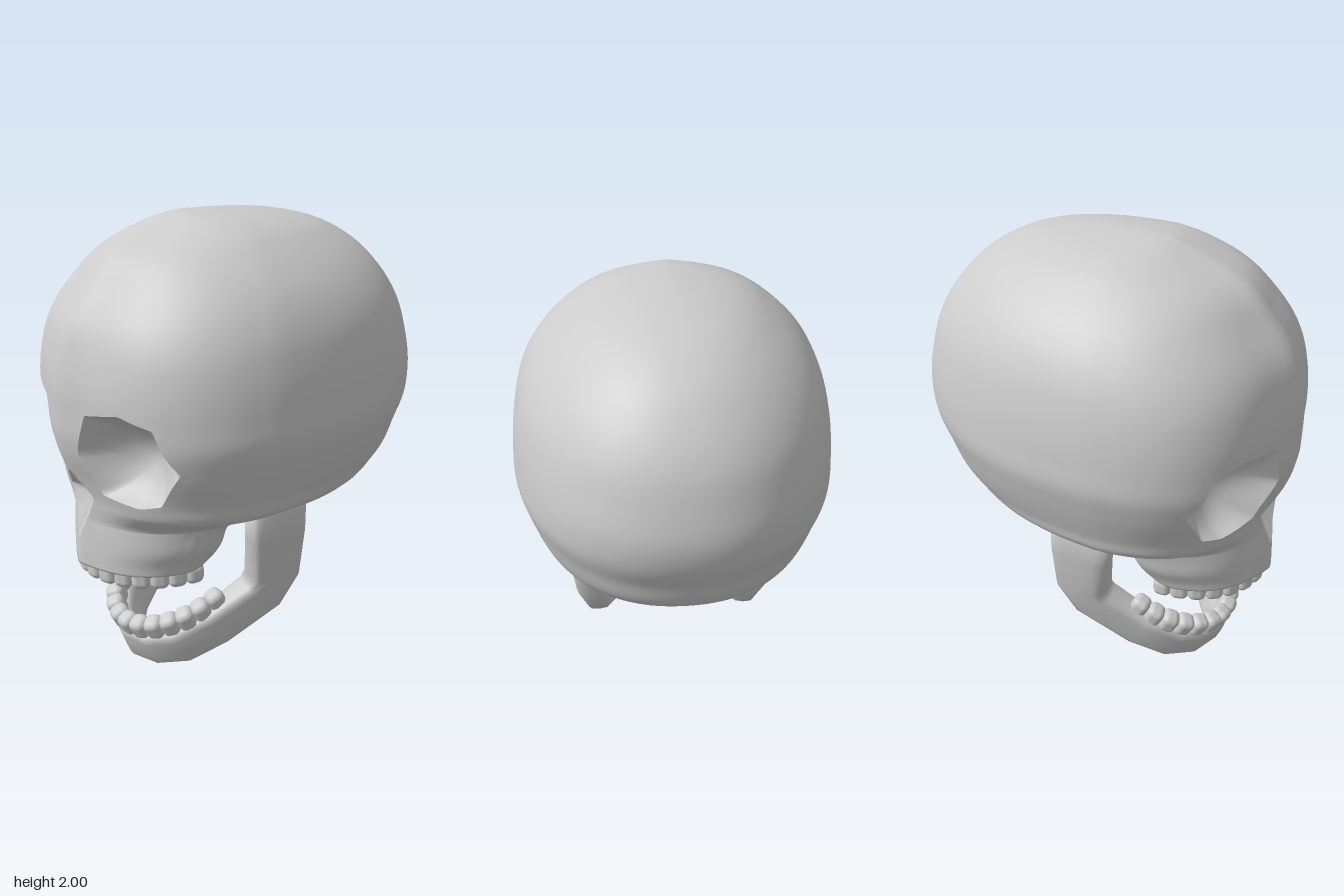
import * as THREE from 'three';
import { RoundedBoxGeometry } from 'three/addons/geometries/RoundedBoxGeometry.js';

const V = (x, y, z) => new THREE.Vector3(x, y, z);

// Skull levels: height, half width, z of widest point, front z, back z, front and back squareness
const LEVELS = [
  [2.00, 0.06, 0.10, 0.24, -0.05, 2.2, 2.2],
  [1.95, 0.29, 0.10, 0.38, -0.38, 2.2, 2.2],
  [1.87, 0.42, 0.10, 0.56, -0.55, 2.3, 2.2],
  [1.74, 0.555, 0.11, 0.69, -0.69, 2.4, 2.2],
  [1.60, 0.635, 0.12, 0.79, -0.78, 2.5, 2.2],
  [1.48, 0.67, 0.13, 0.828, -0.82, 2.6, 2.2],
  [1.30, 0.695, 0.14, 0.85, -0.85, 2.6, 2.2],
  [1.19, 0.70, 0.14, 0.85, -0.83, 2.6, 2.2],
  [1.10, 0.68, 0.14, 0.838, -0.79, 2.6, 2.2],
  [0.93, 0.625, 0.16, 0.785, -0.71, 2.5, 2.2],
  [0.86, 0.60, 0.19, 0.77, -0.60, 2.4, 2.2],
  [0.82, 0.52, 0.25, 0.77, -0.51, 2.2, 2.2],
  [0.77, 0.42, 0.34, 0.772, -0.24, 2.0, 2.4],
  [0.76, 0.415, 0.35, 0.773, 0.21, 2.0, 3],
  [0.66, 0.39, 0.40, 0.78, 0.25, 2.0, 3.5],
  [0.60, 0.36, 0.42, 0.784, 0.30, 2.0, 4],
  [0.56, 0.345, 0.44, 0.785, 0.36, 2.0, 4],
];
const signedPow = (v, e) => Math.sign(v) * Math.abs(v) ** e;
// Round outlines blend best through their squares
const SQUARED = LEVELS.map(l => l.map((v, c) => c === 1 || c === 3 || c === 4 ? signedPow(v, 2) : v));

// Smooth interpolation of the level table with little overshoot
function levelAt(y) {
  const L = SQUARED;
  let i = 0;
  while (i < L.length - 2 && y < L[i + 1][0]) i++;
  const a = L[i], b = L[i + 1], h = b[0] - a[0], t = (y - a[0]) / h;
  const secant = (k, c) => (L[k + 1][c] - L[k][c]) / (L[k + 1][0] - L[k][0]);
  const slope = (k, c) => {
    if (k === 0) return secant(0, c);
    if (k === L.length - 1) return secant(k - 1, c);
    const p = secant(k - 1, c), q = secant(k, c);
    const h0 = L[k][0] - L[k - 1][0], h1 = L[k + 1][0] - L[k][0];
    const limit = 3 * Math.min(Math.abs(p), Math.abs(q));
    return Math.max(-limit, Math.min(limit, (h1 * p + h0 * q) / (h0 + h1)));
  };
  return a.map((_, c) => {
    if (c === 0) return y;
    const v = (1 + 2 * t) * (1 - t) ** 2 * a[c] + t * (1 - t) ** 2 * h * slope(i, c) +
      t * t * (3 - 2 * t) * b[c] + t * t * (t - 1) * h * slope(i + 1, c);
    return c === 1 || c === 3 || c === 4 ? signedPow(v, 0.5) : v;
  });
}

// Front surface depth at a point of the face, slightly keeled along the middle
function faceZ(x, y) {
  const [, hw, zm, zf, , nf] = levelAt(y);
  const r = Math.min(1, Math.abs(x) / hw), k = (1 - r ** nf) ** (1 / nf);
  return zm + (zf - zm) * (k - 0.075 * r * r / (r * r + 0.03) * Math.min(1, 3 * k));
}

// Skin a list of rings, with optional centre points closing the ends
function skin(rings, capA, capB, keep = () => true) {
  const n = rings[0].length, pts = rings.flat(), index = [];
  const tri = (a, b, c) => { if (keep(pts[a], pts[b], pts[c])) index.push(a, b, c); };
  const last = (rings.length - 1) * n;
  if (capA) pts.push(capA);
  if (capB) pts.push(capB);
  for (let j = 0; j < n; j++) {
    const k = (j + 1) % n;
    for (let i = 0; i < last; i += n) {
      tri(i + j, i + n + j, i + k);
      tri(i + k, i + n + j, i + n + k);
    }
    if (capA) tri(last + n, j, k);
    if (capB) tri(pts.length - 1, last + k, last + j);
  }
  const g = new THREE.BufferGeometry().setFromPoints(pts);
  g.setIndex(index);
  g.computeVertexNormals();
  return g;
}

// Face openings: clockwise convex outlines with a centre, a floor depth and bowl steps
const EYE = [[0.17, 1.275], [0.345, 1.31], [0.475, 1.275], [0.54, 1.10],
  [0.435, 0.94], [0.345, 0.91], [0.17, 0.925], [0.105, 1.10]];
const SOCKET = { floor: 0.56, snap: 0.11, radius: 0.2,
  bowl: [[0.93, 0.18], [0.82, 0.4], [0.66, 0.64], [0.45, 0.84], [0.22, 0.96]] };
const OPENINGS = [
  { name: 'leftEyeSocket', pts: EYE, c: [0.32, 1.10], ...SOCKET },
  { name: 'rightEyeSocket', pts: EYE.map(([x, y]) => [-x, y]).reverse(), c: [-0.32, 1.10], ...SOCKET },
  { name: 'noseOpening', pts: [[0, 1.0], [0.1, 0.89], [0, 0.68], [-0.1, 0.89]], c: [0, 0.88],
    floor: 0.70, snap: 0.2, bowl: [[0.66, 0.4], [0.33, 0.75]] },
];

// Under 1 inside the outline, 1 on it, over 1 outside
function ratio({ pts, c }, x, y) {
  return Math.max(...pts.map((a, i) => {
    const b = pts[(i + 1) % pts.length], nx = b[1] - a[1], ny = a[0] - b[0];
    return (nx * (x - c[0]) + ny * (y - c[1])) / (nx * (a[0] - c[0]) + ny * (a[1] - c[1]));
  }));
}

// Cranium and upper jaw in one skin, its grid pulled onto the rims of the openings
function skullGeometry() {
  const COLS = 200, ys = [];
  LEVELS.forEach(([y], i) => {
    const next = LEVELS[i + 1];
    const steps = next ? Math.max(4, Math.ceil((y - next[0]) / 0.018)) : 1;
    for (let s = 0; s < steps; s++) ys.push(next ? y + (next[0] - y) * s / steps : y);
  });
  const rings = ys.map(y => {
    const [, hw, zm, , zb, nf, nb] = levelAt(y);
    return Array.from({ length: COLS }, (_, j) => {
      const a = j / COLS * Math.PI * 2, c = Math.cos(a);
      const x = hw * signedPow(Math.sin(a), 2 / (c >= 0 ? nf : nb));
      const p = V(x, y, c >= 0 ? faceZ(x, y) : zm + (zb - zm) * Math.abs(c) ** (2 / nb));
      if (c > 0.1) for (const o of OPENINGS) {
        const r = ratio(o, p.x, p.y);
        if (Math.abs(r - 1) > o.snap) continue;
        p.x = o.c[0] + (p.x - o.c[0]) / r;
        p.y = o.c[1] + (p.y - o.c[1]) / r;
        p.z = faceZ(p.x, p.y);
      }
      return p;
    });
  });
  const keep = (a, b, c) => {
    const m = V(0, 0, 0).add(a).add(b).add(c).divideScalar(3);
    return m.z < 0.4 || OPENINGS.every(o => ratio(o, m.x, m.y) > 0.995);
  };
  return skin(rings, V(0, 2, 0.1), V(0, 0.6, 0.54), keep);
}

// Lining from the rim of an opening to its floor, turning round where a radius is set
function liningGeometry({ pts, c, floor, bowl, radius }) {
  const rim = pts.flatMap((a, i) => {
    const b = pts[(i + 1) % pts.length];
    return Array.from({ length: 8 }, (_, s) => {
      const x = a[0] + (b[0] - a[0]) * s / 8, y = a[1] + (b[1] - a[1]) * s / 8;
      return V(x, y, faceZ(x, y));
    });
  });
  const rings = [[1, 0], ...bowl].map(([s, d]) => rim.map(p => {
    const dx = p.x - c[0], dy = p.y - c[1], len = Math.hypot(dx, dy);
    const k = s * (1 + ((radius ?? len) / len - 1) * Math.min(1, d * 1.5));
    return V(c[0] + dx * k, c[1] + dy * k, p.z + (floor - p.z) * d);
  }));
  return skin(rings, null, V(c[0], c[1], floor));
}

// Lower jaw: rounded sections swept from one hinge round the chin to the other
function jawGeometry() {
  // centre x, y, z, section up direction y, z, half height, half thickness
  const half = [
    [0.465, 0.81, 0.09, 0, 1, 0.145, 0.05],
    [0.44, 0.68, 0.072, 0, 1, 0.142, 0.06],
    [0.40, 0.47, 0.055, 0.1, 1, 0.128, 0.07],
    [0.36, 0.365, 0.09, 0.585, 0.81, 0.115, 0.07],
    [0.305, 0.237, 0.293, 0.85, 0.525, 0.10, 0.06],
    [0.225, 0.15, 0.425, 0.85, 0.525, 0.10, 0.055],
    [0.12, 0.107, 0.50, 0.9, 0.43, 0.092, 0.05],
  ];
  const mirrored = half.map(([x, ...r]) => [-x, ...r]).reverse();
  const st = [...half, [0, 0.095, 0.53, 0.94, 0.36, 0.09, 0.05], ...mirrored];
  const centre = st.map(s => V(s[0], s[1], s[2]));
  const rings = st.map(([, , , uy, uz, h, t], i) => {
    const T = centre[Math.min(i + 1, st.length - 1)].clone().sub(centre[Math.max(i - 1, 0)]).normalize();
    const U = V(0, uy, uz).normalize(), W = T.clone().cross(U).normalize();
    return Array.from({ length: 16 }, (_, j) => {
      const a = j / 16 * Math.PI * 2;
      return centre[i].clone().addScaledVector(U, h * signedPow(Math.cos(a), 0.55))
        .addScaledVector(W, -t * signedPow(Math.sin(a), 0.55));
    });
  });
  return skin(rings, centre[0].clone().setY(0.82), centre[st.length - 1].clone().setY(0.82));
}

// A row of teeth spaced evenly along a half ellipse
function toothRow(name, count, rx, rz, height, material) {
  const row = new THREE.Group();
  row.name = name;
  const spots = new THREE.EllipseCurve(0, 0, rx, rz, 0, Math.PI).getSpacedPoints(count * 2);
  const geometry = new RoundedBoxGeometry(0.082, height, 0.085, 3, 0.03);
  for (let i = 0; i < count; i++) {
    const p = spots[i * 2 + 1], tooth = new THREE.Mesh(geometry, material);
    tooth.name = 'tooth';
    tooth.position.set(p.x, 0, p.y);
    tooth.rotation.y = Math.atan2(p.x / rx ** 2, p.y / rz ** 2);
    row.add(tooth);
  }
  return row;
}

export function createModel() {
  const model = new THREE.Group();
  model.name = 'skull';
  const bone = new THREE.MeshStandardMaterial({ color: 0xcccccc, side: THREE.DoubleSide });
  bone.name = 'bone';
  const add = (name, geometry) => {
    const mesh = new THREE.Mesh(geometry, bone);
    mesh.name = name;
    model.add(mesh);
  };
  add('cranium', skullGeometry());
  for (const o of OPENINGS) add(o.name, liningGeometry(o));
  add('lowerJaw', jawGeometry());

  const upper = toothRow('upperTeeth', 14, 0.31, 0.348, 0.09, bone);
  upper.position.set(0, 0.537, 0.372);
  const lower = toothRow('lowerTeeth', 14, 0.31, 0.36, 0.1, bone);
  lower.position.set(0, 0.378, 0.262);
  lower.rotation.x = 0.48;
  model.add(upper, lower);
  return model;
}
